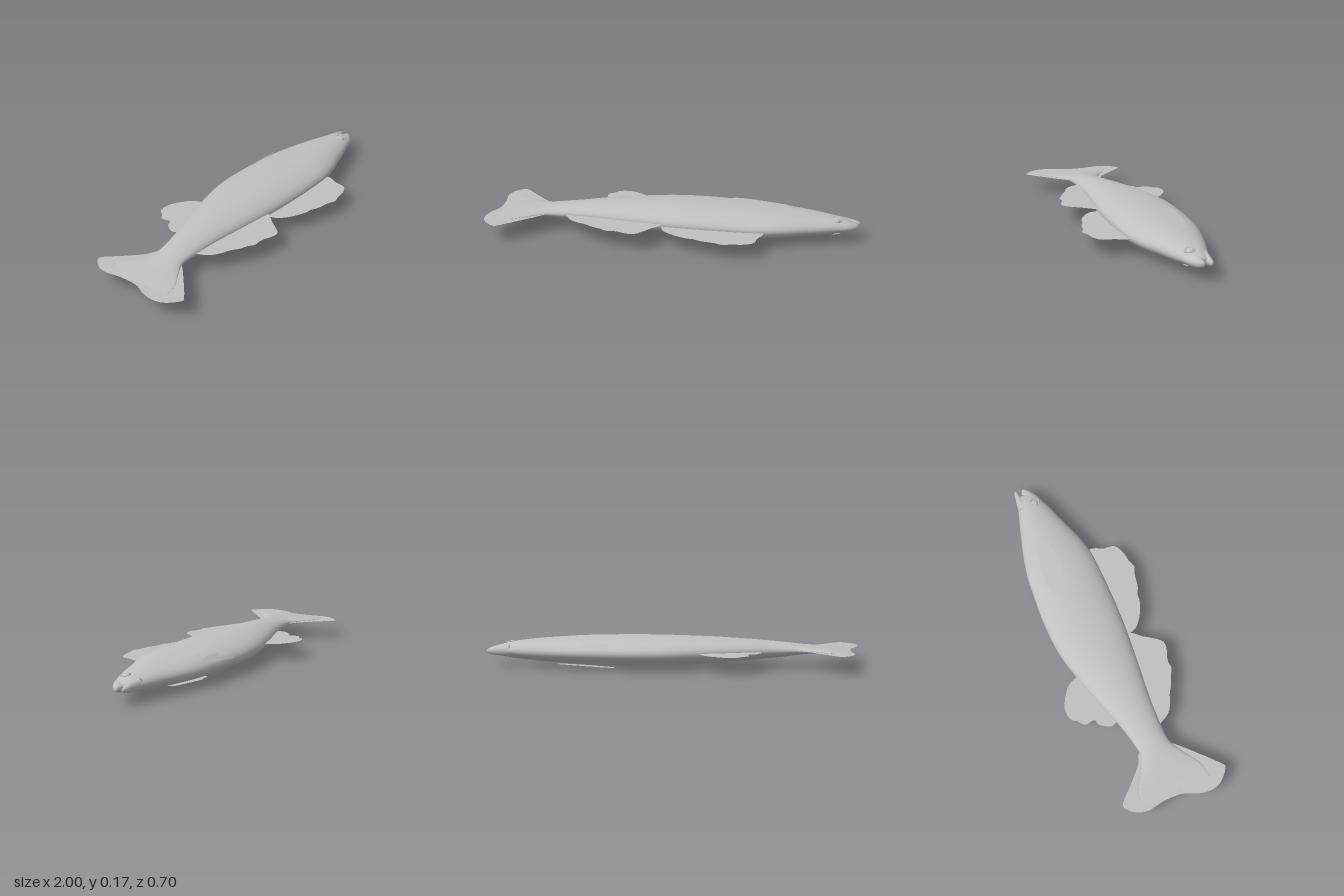
import * as THREE from 'three';

const grey = new THREE.MeshStandardMaterial({ color: 0xc0c0c0, side: THREE.DoubleSide });
grey.name = 'fish grey';

// Smooth loft along x through stations [x, zMin, zMax, yMin, yMax]
function loft(name, stations, rings, sides) {
  const curve = (f) => new THREE.CatmullRomCurve3(stations.map(f), false, 'catmullrom', 0.5);
  const zs = curve((s) => new THREE.Vector3(s[0], s[1], s[2]));
  const ys = curve((s) => new THREE.Vector3(s[0], s[3], s[4]));
  const pos = [], index = [];
  const first = stations[0], last = stations[stations.length - 1];
  for (let i = 0; i <= rings; i++) {
    const a = zs.getPoint(i / rings), b = ys.getPoint(i / rings);
    for (let j = 0; j < sides; j++) {
      const t = (j / sides) * Math.PI * 2;
      pos.push(a.x,
        (b.y + b.z) / 2 + ((b.z - b.y) / 2) * Math.sin(t),
        (a.y + a.z) / 2 + ((a.z - a.y) / 2) * Math.cos(t));
    }
  }
  for (let i = 0; i < rings; i++) {
    for (let j = 0; j < sides; j++) {
      const a = i * sides + j, b = i * sides + ((j + 1) % sides);
      index.push(a, a + sides, b, b, a + sides, b + sides);
    }
  }
  // end caps
  [first, last].forEach((s, e) => {
    const c = pos.length / 3, base = e ? rings * sides : 0;
    pos.push(s[0], (s[3] + s[4]) / 2, (s[1] + s[2]) / 2);
    for (let j = 0; j < sides; j++) {
      const a = base + j, b = base + ((j + 1) % sides);
      if (e) index.push(c, b, a); else index.push(c, a, b);
    }
  });
  // reverse winding so faces point outwards
  for (let i = 0; i < index.length; i += 3) [index[i], index[i + 1]] = [index[i + 1], index[i]];
  for (let i = 0; i < index.length; i += 3) [index[i + 1], index[i + 2]] = [index[i + 2], index[i + 1]];
  const geo = new THREE.BufferGeometry();
  geo.setAttribute('position', new THREE.Float32BufferAttribute(pos, 3));
  geo.setIndex(index);
  // make sure the surface faces away from the centre line
  geo.computeVertexNormals();
  const top = Math.floor(rings / 2) * sides + Math.floor(sides / 4);
  if (geo.attributes.normal.getY(top) < 0) {
    for (let i = 0; i < index.length; i += 3) [index[i], index[i + 1]] = [index[i + 1], index[i]];
    geo.setIndex(index);
    geo.computeVertexNormals();
  }
  const mesh = new THREE.Mesh(geo, grey);
  mesh.name = name;
  return mesh;
}

// Thin fin from an outline of [x, z] points, its height given by a rule
function fin(name, outline, height) {
  const curve = new THREE.SplineCurve(outline.map(([x, z]) => new THREE.Vector2(x, -z)));
  const geo = new THREE.ShapeGeometry(new THREE.Shape(curve.getPoints(outline.length * 5)));
  geo.rotateX(-Math.PI / 2);
  const p = geo.attributes.position;
  for (let i = 0; i < p.count; i++) p.setY(i, height(p.getX(i), p.getZ(i)));
  geo.computeVertexNormals();
  const mesh = new THREE.Mesh(geo, grey);
  mesh.name = name;
  return mesh;
}

export function createModel() {
  const fish = new THREE.Group();
  fish.name = 'fish';

  // Body lying on its side: back towards +z, belly towards -z, head at +x
  fish.add(loft('body', [
    [-0.93, -0.20, 0.17, 0.0995, 0.1015],
    [-0.85, -0.20, 0.16, 0.094, 0.109],
    [-0.76, -0.14, 0.11, 0.085, 0.118],
    [-0.68, -0.104, 0.070, 0.073, 0.128],
    [-0.60, -0.108, 0.066, 0.062, 0.138],
    [-0.50, -0.127, 0.073, 0.053, 0.147],
    [-0.40, -0.153, 0.084, 0.044, 0.156],
    [-0.20, -0.205, 0.115, 0.029, 0.168],
    [0.00, -0.244, 0.143, 0.019, 0.174],
    [0.20, -0.246, 0.160, 0.015, 0.175],
    [0.40, -0.225, 0.168, 0.018, 0.170],
    [0.50, -0.210, 0.164, 0.021, 0.166],
    [0.60, -0.185, 0.144, 0.025, 0.160],
    [0.70, -0.153, 0.114, 0.031, 0.153],
    [0.80, -0.118, 0.086, 0.039, 0.143],
    [0.88, -0.090, 0.060, 0.049, 0.130],
    [0.93, -0.076, 0.044, 0.057, 0.116],
    [0.955, -0.062, 0.026, 0.068, 0.104],
  ], 110, 48));

  // Open mouth
  fish.add(loft('upperJaw', [
    [0.87, -0.040, 0.058, 0.055, 0.125],
    [0.93, -0.034, 0.043, 0.057, 0.115],
    [0.97, -0.028, 0.020, 0.064, 0.105],
    [0.988, -0.022, 0.002, 0.072, 0.098],
    [0.993, -0.016, -0.010, 0.082, 0.090],
  ], 20, 24));
  fish.add(loft('lowerJaw', [
    [0.87, -0.091, -0.030, 0.058, 0.122],
    [0.93, -0.078, -0.036, 0.062, 0.113],
    [0.97, -0.070, -0.042, 0.068, 0.104],
    [0.993, -0.062, -0.046, 0.076, 0.097],
    [0.999, -0.056, -0.050, 0.083, 0.090],
  ], 20, 24));

  // Fins along the middle plane
  fish.add(fin('tailFin', [
    [-0.64, 0.0], [-0.66, -0.10], [-0.72, -0.14], [-0.80, -0.225], [-0.865, -0.297], [-0.90, -0.295],
    [-0.94, -0.25], [-0.955, -0.19], [-0.945, -0.10], [-0.952, 0.0], [-0.985, 0.07], [-1.0, 0.14],
    [-0.985, 0.205], [-0.925, 0.265], [-0.89, 0.25], [-0.80, 0.175], [-0.69, 0.075], [-0.64, 0.0],
  ], () => 0.1005));
  fish.add(fin('analFin', [
    [-0.44, -0.10], [-0.47, -0.165], [-0.435, -0.222], [-0.40, -0.237], [-0.402, -0.29], [-0.37, -0.315],
    [-0.345, -0.345], [-0.305, -0.352], [-0.265, -0.345], [-0.21, -0.312], [-0.165, -0.27],
    [-0.145, -0.21], [-0.16, -0.15], [-0.44, -0.10],
  ], () => 0.099));
  fish.add(fin('rearDorsalFin', [
    [-0.575, 0.05], [-0.54, 0.125], [-0.49, 0.165], [-0.445, 0.185], [-0.40, 0.217], [-0.36, 0.235],
    [-0.32, 0.26], [-0.285, 0.259], [-0.25, 0.268], [-0.22, 0.282], [-0.185, 0.29], [-0.15, 0.275],
    [-0.095, 0.205], [-0.045, 0.13], [-0.20, 0.08], [-0.575, 0.05],
  ], () => 0.102));
  fish.add(fin('frontDorsalFin', [
    [-0.045, 0.125], [-0.03, 0.19], [0.03, 0.245], [0.10, 0.28], [0.14, 0.287], [0.18, 0.308],
    [0.22, 0.318], [0.26, 0.328], [0.30, 0.345], [0.34, 0.334], [0.405, 0.327], [0.455, 0.30],
    [0.468, 0.245], [0.48, 0.15], [0.20, 0.12], [-0.045, 0.125],
  ], () => 0.09));

  // Paired fins and eyes, mirrored on both flanks
  const mid = 0.0895;
  for (const [side, s] of [['upper', 1], ['lower', -1]]) {
    fish.add(fin(side + 'PectoralFin', [
      [0.61, -0.10], [0.50, -0.125], [0.42, -0.14], [0.35, -0.142], [0.315, -0.13], [0.31, -0.075],
      [0.36, -0.055], [0.44, -0.028], [0.52, -0.025], [0.61, -0.035], [0.61, -0.10],
    ], (x, z) => mid + s * (0.0895 - 0.055 * (x - 0.31) + 0.09 * (z + 0.03))));
    fish.add(fin(side + 'PelvicFin', [
      [0.50, -0.195], [0.42, -0.215], [0.34, -0.226], [0.25, -0.240], [0.235, -0.225], [0.29, -0.198],
      [0.36, -0.186], [0.44, -0.182], [0.50, -0.195],
    ], (x, z) => mid + s * (0.058 - 0.04 * (x - 0.24) + 0.75 * (z + 0.19))));

    const eye = new THREE.Group();
    eye.name = side + 'Eye';
    const ring = new THREE.Mesh(new THREE.TorusGeometry(0.025, 0.004, 10, 32), grey);
    ring.name = 'eyeRim';
    const ball = new THREE.Mesh(new THREE.SphereGeometry(0.02, 24, 16), grey);
    ball.name = 'eyeball';
    ball.scale.z = 0.35;
    eye.add(ring, ball);
    eye.position.set(0.875, mid + s * 0.0385, 0.01);
    eye.quaternion.setFromUnitVectors(new THREE.Vector3(0, 0, 1), new THREE.Vector3(0.18, s, 0.2).normalize());
    fish.add(eye);
  }
  return fish;
}
